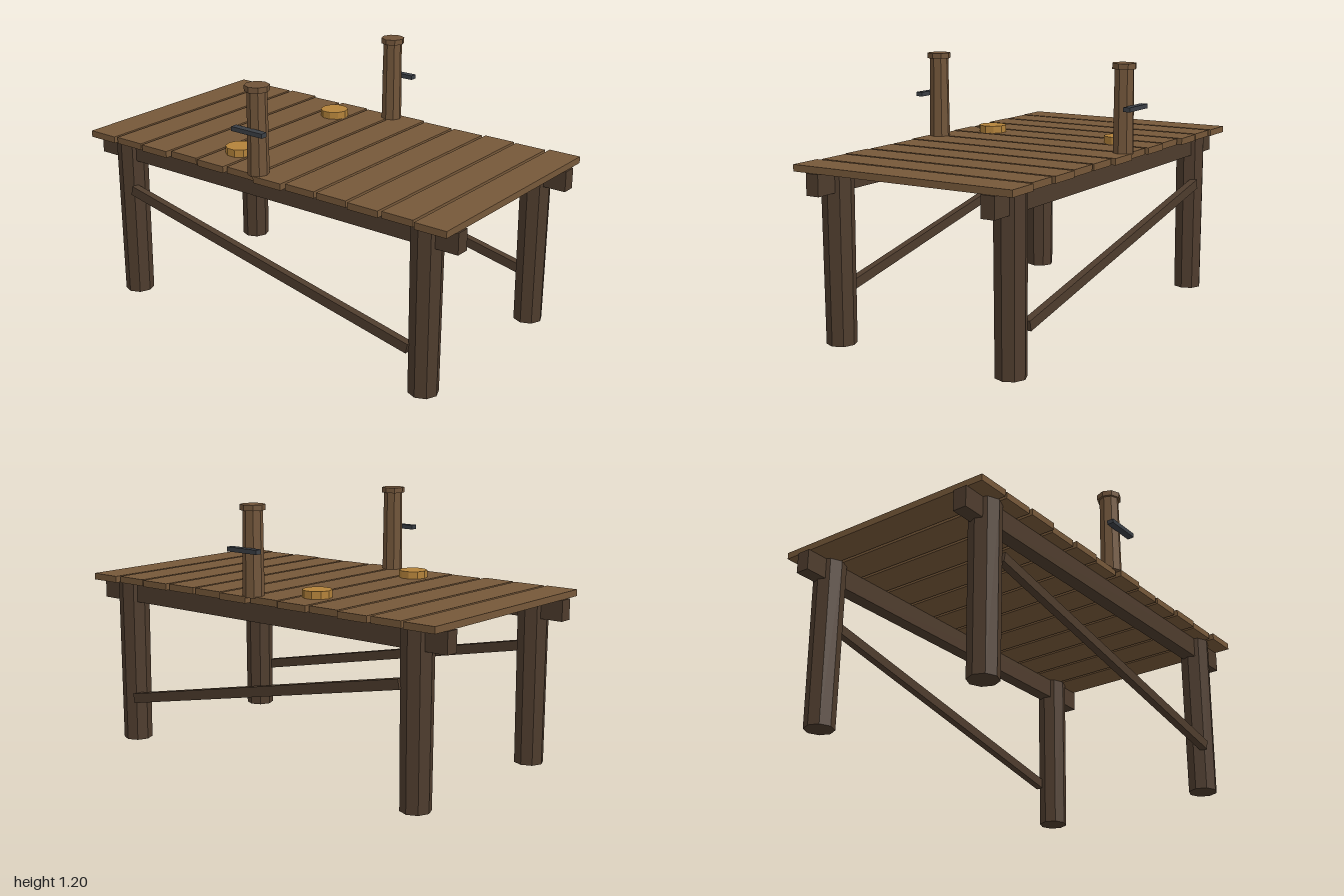
import * as THREE from 'three';

const mat = (name, color) => {
  const m = new THREE.MeshStandardMaterial({ color, flatShading: true });
  m.name = name;
  return m;
};

export function createModel() {
  const plankWood = mat('plank wood', 0x765839);
  const postWood = mat('post wood', 0x705439);
  const darkWood = mat('dark wood', 0x4e3c2d);
  const iron = mat('iron', 0x3b3f45);
  const rope = mat('rope', 0xb3823a);

  const dock = new THREE.Group();
  dock.name = 'dock';

  const add = (name, geometry, material, x, y, z) => {
    const mesh = new THREE.Mesh(geometry, material);
    mesh.name = name;
    mesh.position.set(x, y, z);
    dock.add(mesh);
    return mesh;
  };
  const box = (w, h, d) => new THREE.BoxGeometry(w, h, d);
  const drum = (top, bottom, h, sides) => new THREE.CylinderGeometry(top, bottom, h, sides);

  // Deck planks with slightly uneven lengths
  const halfLengths = [0.54, 0.534, 0.54, 0.521, 0.53, 0.52, 0.54, 0.525, 0.525, 0.534, 0.526, 0.541];
  halfLengths.forEach((half, i) => {
    add('plank', box(half * 2, 0.03, 0.152), plankWood, 0, 0.785, (i - 5.5) * 0.1665);
  });

  for (const [side, s] of [['left', 1], ['right', -1]]) {
    // Beam under the deck
    add(side + 'Beam', box(0.064, 0.095, 2), darkWood, s * 0.434, 0.7225, 0);

    // Tapered legs, wider at the top
    for (const [end, e] of [['Front', 1], ['Back', -1]]) {
      add(side + end + 'Leg', drum(0.071, 0.067, 0.77, 8), darkWood, s * 0.434, 0.385, e * 0.835);
    }

    // Sloping brace, low at the front and high at the back
    const brace = add(side + 'Brace', box(0.035, 0.045, 1.61), darkWood, s * 0.48, 0.371, 0);
    brace.rotation.x = Math.atan2(0.32, 1.56);

    // Mooring post with cap and cleat
    add(side + 'Post', drum(0.044, 0.048, 0.375, 8), postWood, s * 0.493, 0.9825, 0);
    add(side + 'PostCap', drum(0.055, 0.055, 0.025, 8), postWood, s * 0.493, 1.1825, 0);
    add(side + 'Cleat', box(0.032, 0.02, 0.17), iron, s * 0.55, 1.002, 0);

    // Coil of rope on the deck
    add(side + 'RopeCoil', drum(0.066, 0.066, 0.034, 10), rope, s * 0.345, 0.817, -0.235);
  }
  return dock;
}
